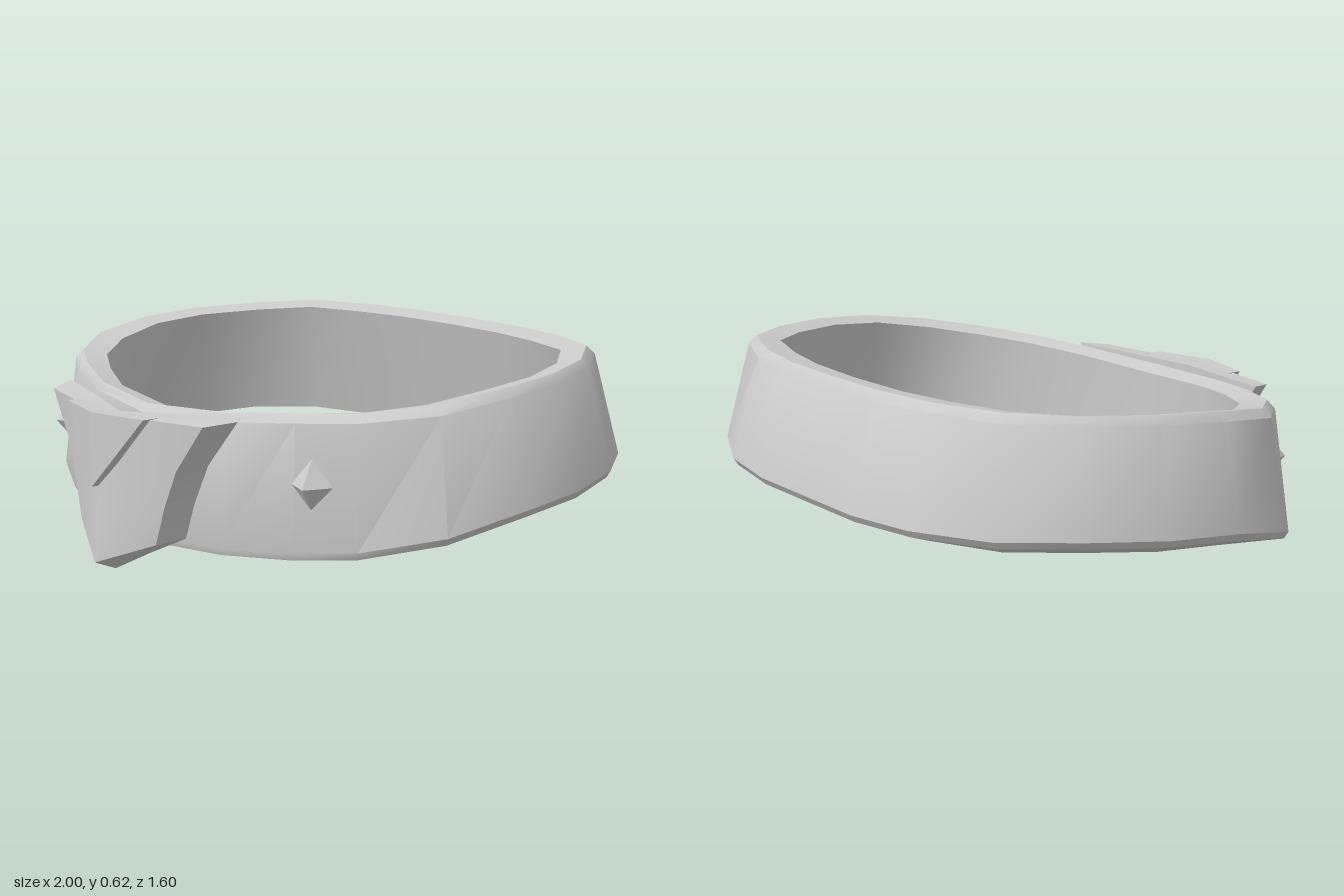
import * as THREE from 'three';
import { toCreasedNormals } from 'three/addons/utils/BufferGeometryUtils.js';

const material = new THREE.MeshStandardMaterial({ color: 0xcccccc, side: THREE.DoubleSide });
const lerp = THREE.MathUtils.lerp;

// Skin a grid of points: columns wrap around, rows wrap only when asked
function skin(columns, wrapRows, extraFaces = [], crease = 0.6) {
  const n = columns.length, m = columns[0].length, index = [...extraFaces];
  for (let i = 0; i < n; i++) {
    for (let j = 0; j < (wrapRows ? m : m - 1); j++) {
      const i2 = (i + 1) % n, j2 = (j + 1) % m;
      const a = i * m + j, b = i2 * m + j, c = i2 * m + j2, d = i * m + j2;
      index.push(a, b, c, a, c, d);
    }
  }
  const geometry = new THREE.BufferGeometry();
  geometry.setAttribute('position', new THREE.Float32BufferAttribute(columns.flat(2), 3));
  geometry.setIndex(index);
  return toCreasedNormals(geometry, crease);
}

function addMesh(parent, name, geometry) {
  const mesh = new THREE.Mesh(geometry, material);
  mesh.name = name;
  parent.add(mesh);
  return mesh;
}

// Half outline from front to back: outer x, outer z, inner x, inner z, bottom y, top y
const outline = [
  [0, 0.64, 0, 0.53, 0.085, 0.485],
  [0.34, 0.585, 0.3, 0.49, 0.10, 0.50],
  [0.58, 0.505, 0.49, 0.41, 0.12, 0.52],
  [0.76, 0.42, 0.65, 0.32, 0.145, 0.535],
  [0.94, 0.25, 0.77, 0.18, 0.195, 0.56],
  [1, 0, 0.82, 0, 0.25, 0.59],
  [0.97, -0.23, 0.81, -0.18, 0.265, 0.605],
  [0.885, -0.45, 0.73, -0.37, 0.28, 0.615],
  [0.73, -0.65, 0.61, -0.51, 0.28, 0.625],
  [0.485, -0.765, 0.42, -0.57, 0.275, 0.625],
  [0.25, -0.8, 0.23, -0.605, 0.27, 0.625],
  [0, -0.8, 0, -0.615, 0.27, 0.625],
];

// Band: a flared wall whose section changes from front to back
function beltGeometry() {
  const mirrored = outline.slice(1, -1).reverse().map(([ox, oz, ix, ...rest]) => [-ox, oz, -ix, ...rest]);
  const columns = [...outline, ...mirrored].map(([ox, oz, ix, iz, bottom, top]) => {
    const front = THREE.MathUtils.clamp(oz / 0.64, 0, 1);
    const at = (t, y) => [lerp(ix, ox, t), y, lerp(iz, oz, t)];
    return [
      at(lerp(0.5, 0.02, front), bottom - lerp(0.045, 0.015, front)),
      at(0.93, bottom - 0.012),
      at(1, bottom + 0.01),
      at(lerp(0.56, 0.78, front), top - 0.025),
      at(lerp(0.42, 0.6, front), top),
      at(0, top - 0.015),
    ];
  });
  return skin(columns, true);
}

// Buckle rows, bottom to top: side x, side y, side z, quarter x, centre y, centre z
const buckleRows = [
  [0.20, 0.11, 0.71, 0.10, 0.03, 0.793],
  [0.235, 0.22, 0.705, 0.10, 0.2, 0.78],
  [0.285, 0.34, 0.695, 0.13, 0.34, 0.768],
  [0.395, 0.483, 0.68, 0.20, 0.475, 0.765],
];

function buckleGeometry() {
  const columns = [];
  for (const back of [false, true]) {
    for (const k of back ? [2, 1, 0, -1, -2] : [-2, -1, 0, 1, 2]) {
      columns.push(buckleRows.map(([sx, sy, sz, qx, cy, cz], row) => {
        const side = Math.abs(k) / 2, s = Math.sign(k);
        let x = side === 1 ? sx : side * 2 * qx;
        const t = x / sx;
        let y = lerp(cy, sy, t), z = lerp(cz, sz, t);
        if (back) {
          x *= 1 + 0.11 * side;
          y += row === 0 ? lerp(-0.03, 0.01, t) : 0.012 * side;
          z -= lerp(row === 0 ? 0.073 : 0.065, 0.09, t);
        }
        return [s * x, y, z];
      }));
    }
  }
  // Top and bottom caps, as strips between front and back columns
  const m = buckleRows.length, caps = [];
  for (let k = 0; k < 4; k++) {
    const strip = [k, k + 1, 8 - k, 9 - k].map((c) => c * m);
    const [a, b, c, d] = strip.map((v) => v + m - 1);
    caps.push(a, b, c, a, c, d);
    const [e, f, g, h] = strip;
    caps.push(e, g, f, e, h, g);
  }
  return skin(columns, false, caps, 0.7);
}

// Raised wedge at the top of the buckle
function wedgeGeometry() {
  const columns = [
    [-0.2, 0.482, 0.748], [0, 0.26, 0.797], [0.2, 0.482, 0.748], [0, 0.482, 0.797],
  ];
  const behind = columns.map(([x, y, z]) => [x, y, z - 0.05]);
  const loop = columns.map((p, i) => [behind[i], p]);
  return skin(loop, false, [1, 3, 7, 3, 5, 7], 0.4);
}

export function createModel() {
  const model = new THREE.Group();
  model.name = 'belt';
  addMesh(model, 'band', beltGeometry());

  const buckle = new THREE.Group();
  buckle.name = 'buckle';
  model.add(buckle);
  addMesh(buckle, 'bucklePlate', buckleGeometry());
  addMesh(buckle, 'buckleWedge', wedgeGeometry());

  // Faceted studs either side of the buckle
  for (const side of [1, -1]) {
    const stud = addMesh(model, side > 0 ? 'leftStud' : 'rightStud', new THREE.OctahedronGeometry(1));
    stud.scale.set(0.065, 0.077, 0.065);
    stud.position.set(side * 0.615, 0.326, 0.465);
    stud.rotation.y = side * 0.45;
  }
  return model;
}
